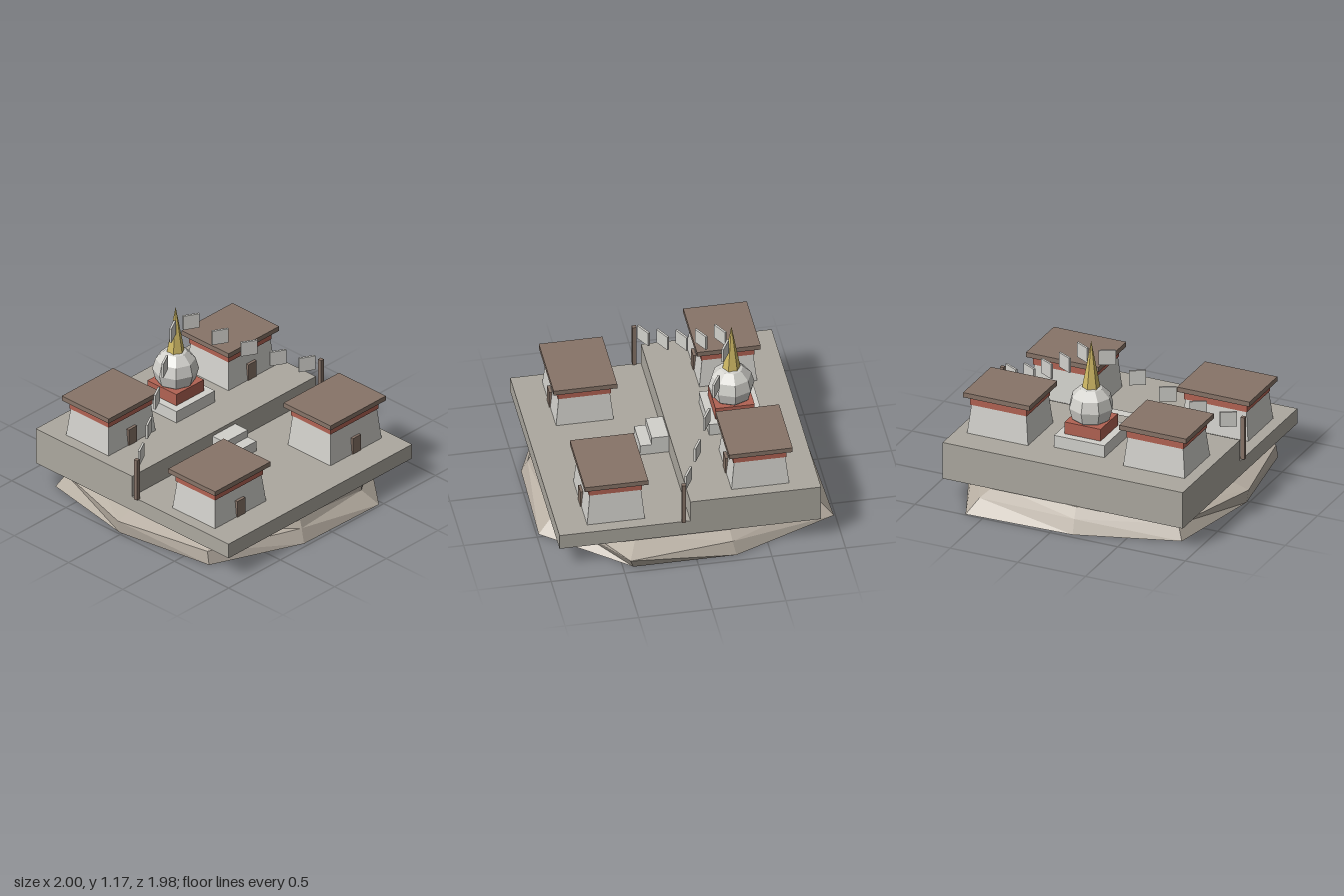
import * as THREE from 'three';

const mat = (name, color, flatShading = false) =>
  Object.assign(new THREE.MeshStandardMaterial({ color, flatShading }), { name });

export function createModel() {
  const model = new THREE.Group();
  model.name = 'terracedMonastery';

  const rockTan = mat('rock tan', 0xb9b0a4);
  const stone = mat('terrace stone', 0xaca89f);
  const white = mat('whitewash', 0xd2d1cc);
  const red = mat('frieze red', 0xb26353);
  const brown = mat('timber brown', 0x877468);
  const gold = mat('spire gold', 0xcfb965);

  const add = (name, geometry, material, x, y, z, parent = model) => {
    const mesh = new THREE.Mesh(geometry, material);
    mesh.name = name;
    mesh.position.set(x, y, z);
    parent.add(mesh);
    return mesh;
  };

  // Box standing on y0; its top can be narrower than its foot
  const block = (name, material, x, z, w, d, y0, y1, parent = model, taper = 0) => {
    const g = new THREE.BoxGeometry(w, y1 - y0, d);
    const p = g.attributes.position;
    for (let i = 0; i < p.count; i++) {
      if (p.getY(i) > 0) {
        p.setX(i, p.getX(i) - Math.sign(p.getX(i)) * taper);
        p.setZ(i, p.getZ(i) - Math.sign(p.getZ(i)) * taper);
      }
    }
    g.computeVertexNormals();
    return add(name, g, material, x, (y0 + y1) / 2, z, parent);
  };

  // Faceted rock: three irregular nine-sided rings of [x, z]
  const rings = [
    [0, [[0.94, 0.43], [0.47, 0.985], [-0.24, 0.97], [-0.875, 0.7], [-0.985, -0.02],
      [-0.85, -0.74], [-0.15, -0.965], [0.63, -0.99], [0.94, -0.27]]],
    [0.095, [[1, 0.46], [0.41, 0.88], [-0.22, 0.93], [-0.87, 0.68], [-1, -0.02],
      [-0.8, -0.69], [-0.14, -0.92], [0.57, -0.9], [0.91, -0.25]]],
    [0.162, [[0.82, 0.39], [0.42, 0.87], [-0.21, 0.9], [-0.73, 0.6], [-0.79, -0.02],
      [-0.68, -0.58], [-0.13, -0.87], [0.5, -0.8], [0.8, -0.24]]],
  ];
  const points = [], faces = [], n = 9;
  for (const [y, ring] of rings) for (const [x, z] of ring) points.push(x, y, z);
  points.push(0, 0, 0, 0, 0.162, 0);
  for (let i = 0; i < n; i++) {
    const j = (i + 1) % n;
    for (let r = 0; r < 2; r++) {
      const a = r * n + i, b = r * n + j;
      faces.push(a, a + n, b + n, a, b + n, b);
    }
    faces.push(3 * n, i, j, 3 * n + 1, 2 * n + j, 2 * n + i);
  }
  const indexed = new THREE.BufferGeometry();
  indexed.setAttribute('position', new THREE.Float32BufferAttribute(points, 3));
  indexed.setIndex(faces);
  const rock = indexed.toNonIndexed();
  rock.computeVertexNormals();
  add('rockBase', rock, rockTan, 0, 0, 0);

  // Two terraces and the steps between them
  const cx = -0.026;
  block('lowerTerrace', stone, cx, 0.4725, 1.776, 0.889, 0.16, 0.27);
  block('upperTerrace', stone, cx, -0.416, 1.776, 0.888, 0.16, 0.427);
  block('lowerStep', white, -0.027, 0.183, 0.223, 0.078, 0.27, 0.345);
  block('upperStep', white, -0.027, 0.086, 0.223, 0.116, 0.27, 0.4);

  // Houses: sloping walls, red frieze, flat roof and a door
  const house = (name, x, z, w, d, y, wallTop) => {
    const g = new THREE.Group();
    g.name = name;
    model.add(g);
    block('walls', white, x, z, w - 0.04, d - 0.04, y, wallTop, g, 0.022);
    block('frieze', red, x, z, w - 0.072, d - 0.07, wallTop, wallTop + 0.063, g);
    block('roof', brown, x, z, w, d, wallTop + 0.063, wallTop + 0.098, g);
    block('door', brown, x, z + d / 2 - 0.028, 0.078, 0.03, y, y + 0.122, g);
  };
  house('frontRightHouse', -0.585, 0.518, 0.535, 0.432, 0.27, 0.477);
  house('frontLeftHouse', 0.532, 0.518, 0.535, 0.432, 0.27, 0.5);
  house('backRightHouse', -0.605, -0.463, 0.495, 0.432, 0.427, 0.634);
  house('backLeftHouse', 0.552, -0.463, 0.49, 0.432, 0.427, 0.634);

  // Shrine: plinth, red drum base, faceted dome and gilded spire
  const shrine = new THREE.Group();
  shrine.name = 'shrine';
  model.add(shrine);
  const sz = -0.418;
  block('plinth', white, cx, sz, 0.372, 0.372, 0.427, 0.515, shrine);
  block('domeBase', red, cx, sz, 0.266, 0.266, 0.515, 0.602, shrine);
  const dome = new THREE.SphereGeometry(0.156, 8, 6).toNonIndexed();
  dome.computeVertexNormals();
  add('dome', dome, white, cx, 0.695, sz, shrine);
  const spire = new THREE.ConeGeometry(0.064, 0.36, 6).toNonIndexed();
  spire.computeVertexNormals();
  add('spire', spire, gold, cx, 0.995, sz, shrine);

  // Poles and the two rising lines of flags, mirrored about the shrine
  const flagHeights = [0.565, 0.65, 0.763, 0.89, 1.045];
  for (const side of [-1, 1]) {
    block('flagPole', brown, cx + side * 0.89, 0.074, 0.028, 0.028, 0.27, 0.58);
    flagHeights.forEach((y, i) => {
      const flag = add('flag', new THREE.BoxGeometry(0.115, 0.107, 0.015), white,
        cx + side * (0.802 - i * 0.178), y, 0.028 - i * 0.097);
      flag.rotation.y = -side * 0.505;
    });
  }
  return model;
}
